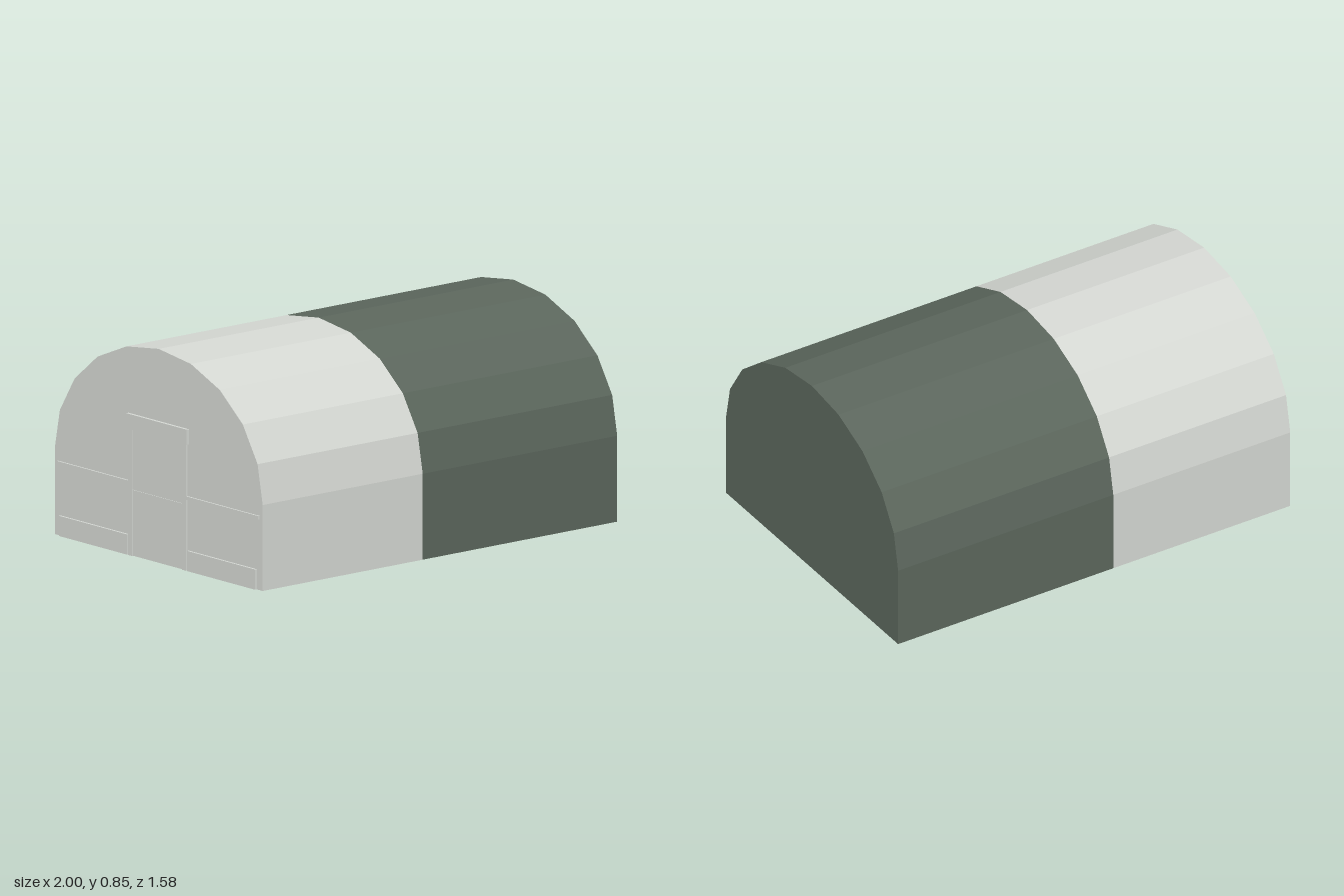
import * as THREE from 'three';

export function createModel() {
  const mat = (name, color) => {
    const m = new THREE.MeshStandardMaterial({ color, side: THREE.DoubleSide, flatShading: true });
    m.name = name;
    return m;
  };
  const pale = mat('pale grey', 0xd4d7d2);
  const green = mat('dark green', 0x5b665c);
  const blue = mat('blue', 0x5c92c4);

  const X0 = -0.893, X1 = 0.893, SPLIT = -0.087; // length of the hut, colour change
  const HALF = 0.62, WALL = 0.34, RISE = 0.505;

  const root = new THREE.Group();
  root.name = 'hut';
  const hut = new THREE.Group();
  hut.name = 'hutBody';
  hut.rotation.y = -0.204;
  root.add(hut);

  const add = (name, geo, material) => {
    const mesh = new THREE.Mesh(geo, material);
    mesh.name = name;
    hut.add(mesh);
    return mesh;
  };
  // Box given by its ranges along x, y and z
  const box = (name, [xa, xb], [ya, yb], [za, zb], material) => {
    const mesh = add(name, new THREE.BoxGeometry(xb - xa, yb - ya, zb - za), material);
    mesh.position.set((xa + xb) / 2, (ya + yb) / 2, (za + zb) / 2);
  };

  // Arched section: straight walls below a ten-sided half ellipse
  const profile = (inset = 0) => {
    const pts = [[HALF - inset, 0]];
    for (let i = 0; i <= 10; i++) {
      const a = (i * Math.PI) / 10;
      pts.push([(HALF - inset) * Math.cos(a), WALL + (RISE - inset) * Math.sin(a)]);
    }
    pts.push([-HALF + inset, 0]);
    return pts.map(([z, y]) => new THREE.Vector2(z, y));
  };

  // Roof and side walls as one folded sheet
  const sheet = (name, xa, xb, material) => {
    const pos = [];
    const p = profile();
    for (let i = 0; i < p.length - 1; i++) {
      const a = p[i], b = p[i + 1];
      pos.push(xa, a.y, a.x, xb, a.y, a.x, xb, b.y, b.x);
      pos.push(xa, a.y, a.x, xb, b.y, b.x, xa, b.y, b.x);
    }
    const geo = new THREE.BufferGeometry();
    geo.setAttribute('position', new THREE.Float32BufferAttribute(pos, 3));
    geo.computeVertexNormals();
    add(name, geo, material);
  };
  sheet('paleShell', X0, SPLIT, pale);
  sheet('greenShell', SPLIT, X1, green);

  // End walls
  const end = (name, x, turn, material) => {
    const mesh = add(name, new THREE.ShapeGeometry(new THREE.Shape(profile())), material);
    mesh.rotation.y = turn;
    mesh.position.x = x;
  };
  end('greenEndWall', X1, Math.PI / 2, green);
  end('paleEndWall', X0, -Math.PI / 2, pale);

  // Arched ribs on the inside
  const rib = (x, material) => {
    const shape = new THREE.Shape([...profile(0.003), ...profile(0.015).reverse()]);
    const geo = new THREE.ExtrudeGeometry(shape, { depth: 0.012, bevelEnabled: false });
    const mesh = add('archRib', geo, material);
    mesh.rotation.y = Math.PI / 2;
    mesh.position.x = x;
  };
  rib(0.382, green);
  rib(SPLIT + 0.001, green);
  rib(X0 + 0.004, pale);

  // Eaves rails along both side walls
  for (const s of [-1, 1]) {
    const z = [s * 0.611 - 0.007, s * 0.611 + 0.007];
    box('eavesRail', [X0 + 0.005, SPLIT], [0.325, 0.339], z, pale);
    box('eavesRail', [SPLIT, X1 - 0.005], [0.325, 0.339], z, green);
  }

  // Door with frame on the pale end
  box('doorLeafLower', [X0 - 0.003, X0], [0, 0.26], [-0.15, 0.15], pale);
  box('doorLeafUpper', [X0 - 0.005, X0], [0.265, 0.5], [-0.15, 0.15], pale);
  box('doorHeader', [X0 - 0.012, X0 + 0.008], [0.5, 0.56], [-0.18, 0.18], pale);
  for (const s of [-1, 1]) {
    const span = (a, b) => (s > 0 ? [a, b] : [-b, -a]);
    box('doorPost', [X0 - 0.009, X0 + 0.015], [0, 0.5], span(0.15, 0.172), pale);
    box('endRail', [X0 - 0.007, X0 + 0.007], [0.28, 0.294], span(0.172, 0.6), pale);
    box('kickPanel', [X0 - 0.009, X0 + 0.016], [0, 0.08], span(0.18, 0.585), pale);
  }

  // Furniture inside
  const crate = (x, z) =>
    box('blueLocker', [x - 0.092, x + 0.092], [0, 0.24], [z - 0.066, z + 0.066], blue);
  crate(-0.407, 0.362);
  crate(-0.221, -0.347);
  box('tableTop', [0.07, 0.32], [0.076, 0.09], [-0.17, 0.17], pale);

  return root;
}
